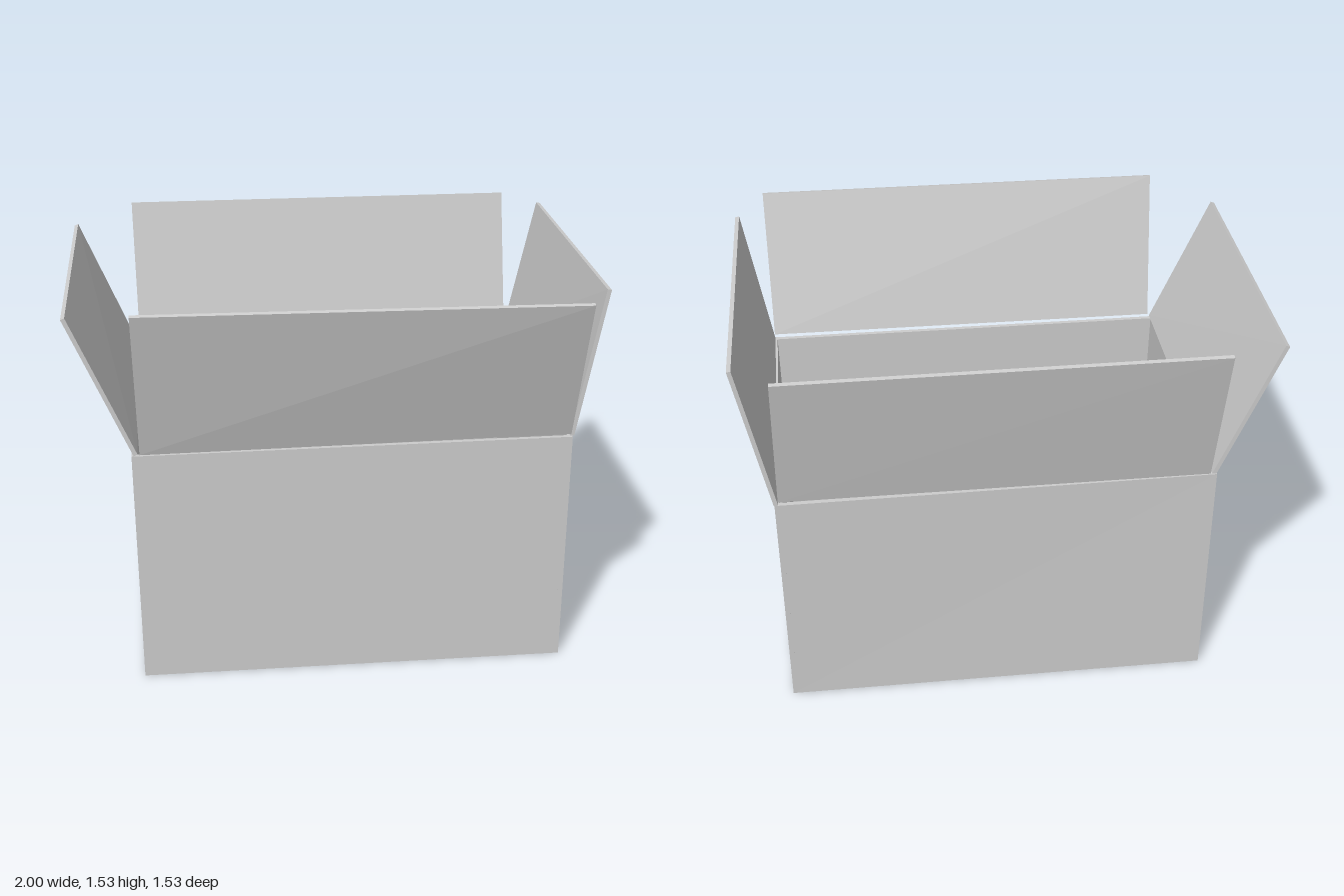
import * as THREE from 'three';

const V = (x, y, z) => new THREE.Vector3(x, y, z);

// Thin board from four outer corners (counter-clockwise seen from outside), thickened inwards
function board(name, material, thickness, corners) {
  const [a, b, c, d] = corners.map((p) => V(...p));
  const inward = b.clone().sub(a).cross(d.clone().sub(a)).normalize().multiplyScalar(-thickness);
  const geo = new THREE.BoxGeometry(1, 1, 1);
  const pos = geo.attributes.position;
  for (let i = 0; i < pos.count; i++) {
    const right = pos.getX(i) > 0, top = pos.getY(i) > 0;
    const p = (top ? (right ? c : d) : (right ? b : a)).clone();
    if (pos.getZ(i) < 0) p.add(inward);
    pos.setXYZ(i, p.x, p.y, p.z);
  }
  const flat = geo.toNonIndexed();
  flat.computeVertexNormals();
  const mesh = new THREE.Mesh(flat, material);
  mesh.name = name;
  return mesh;
}

export function createModel() {
  const model = new THREE.Group();
  model.name = 'openCardboardBox';
  const card = new THREE.MeshStandardMaterial({ color: 0xcccccc });
  card.name = 'plain grey card';

  // Box body corners, slightly out of square: bottom ring, then top ring
  const [fl, fr, br, bl] = [[-0.765, 0, 0.583], [0.873, 0, 0.583], [0.873, 0, -0.63], [-0.765, 0, -0.63]];
  const [FL, FR, BR, BL] = [[-0.775, 0.93, 0.573], [0.878, 0.935, 0.573], [0.878, 0.935, -0.643], [-0.77, 0.935, -0.635]];
  const wall = 0.018;
  model.add(
    board('frontWall', card, wall, [fl, fr, FR, FL]),
    board('leftWall', card, wall, [fr, br, BR, FR]),
    board('backWall', card, wall, [br, bl, BL, BR]),
    board('rightWall', card, wall, [bl, fl, FL, BL]),
  );

  // Base, set slightly up inside the walls
  const base = new THREE.Mesh(new THREE.BoxGeometry(1.615, 0.014, 1.195), card);
  base.name = 'base';
  base.position.set(0.054, 0.019, -0.024);
  model.add(base);

  // Gently uneven inner sheet lying on the base
  const sheetGeo = new THREE.PlaneGeometry(1.53, 1.1, 30, 22).rotateX(-Math.PI / 2);
  const p = sheetGeo.attributes.position;
  for (let i = 0; i < p.count; i++) {
    const x = p.getX(i), z = p.getZ(i);
    p.setY(i, 0.004 * Math.sin(7 * x + 2 * z) * Math.cos(8 * z - 2 * x));
  }
  sheetGeo.computeVertexNormals();
  const sheet = new THREE.Mesh(sheetGeo, card);
  sheet.name = 'innerSheet';
  sheet.position.set(0.055, 0.031, -0.03);
  model.add(sheet);

  // Four open flaps, each leaning outwards at its own angle
  const flap = 0.016;
  model.add(
    board('frontFlap', card, flap, [[-0.745, 0.94, 0.585], [0.87, 0.95, 0.58], [0.877, 1.52, 0.765], [-0.755, 1.525, 0.74]]),
    board('backFlap', card, flap, [[0.865, 0.95, -0.643], [-0.745, 0.94, -0.636], [-0.755, 1.525, -0.77], [0.855, 1.525, -0.768]]),
    board('leftFlap', card, flap, [[0.885, 0.935, 0.565], [0.88, 0.935, -0.645], [1.0, 1.51, -0.635], [0.988, 1.51, 0.57]]),
    board('rightFlap', card, flap, [[-0.767, 0.93, -0.63], [-0.767, 0.93, 0.57], [-1.0, 1.465, 0.565], [-0.995, 1.47, -0.63]]),
  );
  return model;
}
